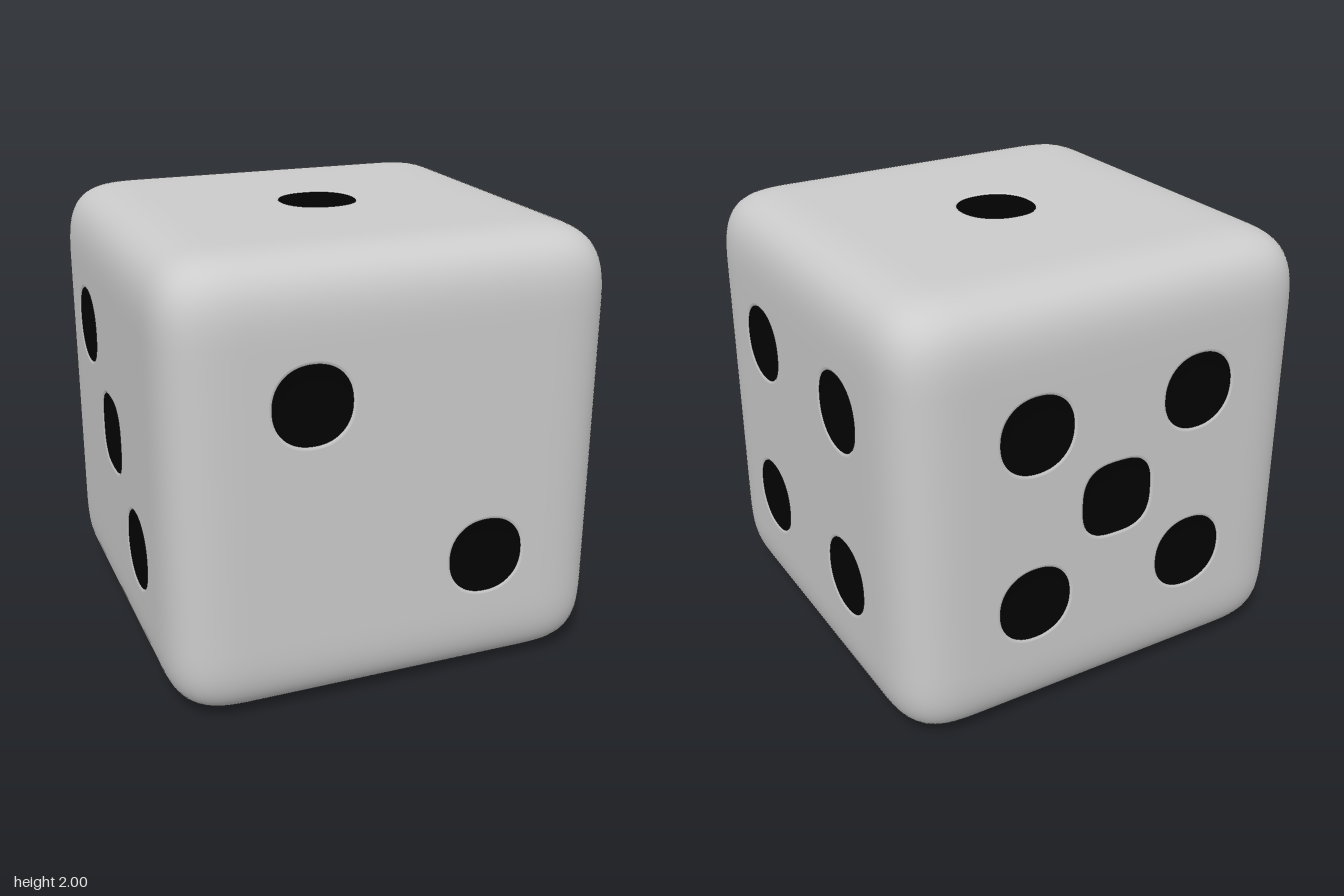
import * as THREE from 'three';
import { mergeVertices } from 'three/addons/utils/BufferGeometryUtils.js';

const FLAT = 0.6;    // half-width of the flat middle of each face
const ROUND = 0.4;   // reach of the rounded edges
const PIP = 0.172;   // pip radius
const GRID = 0.4;    // pip spacing
const SIDES = 64;

const grey = new THREE.MeshStandardMaterial({ color: 0xcccccc });
const black = new THREE.MeshStandardMaterial({ color: 0x020202 });

function part(name, geometry, material) {
  const mesh = new THREE.Mesh(geometry, material);
  mesh.name = name;
  return mesh;
}

function smooth(geometry) {
  geometry.deleteAttribute('uv');
  geometry.deleteAttribute('normal');
  const merged = mergeVertices(geometry, 1e-4);
  merged.computeVertexNormals();
  return merged;
}

// Rounded edges and corners, with the flat middle of each face left open
function roundedShell() {
  const geo = new THREE.BoxGeometry(2, 2, 2, 60, 60, 60);
  const pos = geo.attributes.position;
  const index = geo.index.array;
  const kept = [];
  const isFlat = (i) => [pos.getX(i), pos.getY(i), pos.getZ(i)]
    .filter((c) => Math.abs(c) <= FLAT + 1e-4).length === 2;
  for (let i = 0; i < index.length; i += 3) {
    const tri = [index[i], index[i + 1], index[i + 2]];
    if (!tri.every(isFlat)) kept.push(...tri);
  }
  geo.setIndex(kept);
  const power = 3.6;
  for (let i = 0; i < pos.count; i++) {
    const p = [pos.getX(i), pos.getY(i), pos.getZ(i)];
    const inner = p.map((c) => THREE.MathUtils.clamp(c, -FLAT, FLAT));
    const d = p.map((c, k) => c - inner[k]);
    const length = d.reduce((sum, c) => sum + Math.abs(c) ** power, 0) ** (1 / power);
    pos.setXYZ(i, ...inner.map((c, k) => c + (d[k] * ROUND) / length));
  }
  return smooth(geo);
}

// Slightly squared circle: radius factor at an angle
function squared(angle, n) {
  return (Math.abs(Math.cos(angle)) ** n + Math.abs(Math.sin(angle)) ** n) ** (-1 / n);
}

// Turned dish, squared off, opening towards +z; profile runs from rim to centre
function dish(profile, n) {
  const points = profile.map(([r, depth]) => new THREE.Vector2(r * PIP, -depth));
  const geo = new THREE.LatheGeometry(points, SIDES).rotateX(Math.PI / 2);
  const pos = geo.attributes.position;
  for (let i = 0; i < pos.count; i++) {
    const x = pos.getX(i), y = pos.getY(i);
    const k = squared(Math.atan2(y, x), n);
    pos.setXY(i, x * k, y * k);
  }
  return smooth(geo);
}

const RIM = [[1.08, 0], [1.04, 0.001], [1, 0.005]];
const BOWL = [[1, 0.005], [0.97, 0.03], [0.88, 0.06], [0.7, 0.08], [0.4, 0.09], [0, 0.092]];

// One face: flat plate with holes, and a rim and bowl in each hole
function createFace(name, pips, rotX, rotY) {
  const face = new THREE.Group();
  face.name = name;
  const plate = new THREE.Shape();
  plate.moveTo(-FLAT, -FLAT).lineTo(FLAT, -FLAT).lineTo(FLAT, FLAT).lineTo(-FLAT, FLAT);
  plate.closePath();
  for (const [u, v] of pips) {
    const x = u * GRID, y = v * GRID;
    // Pips with close neighbours are a little squarer
    const n = pips.length > 1 && (u === 0 || v === 0) ? 2.9 : 2.2;
    const outline = [];
    for (let i = 0; i < SIDES; i++) {
      const a = (-i / SIDES) * Math.PI * 2;
      const r = RIM[0][0] * PIP * squared(a, n);
      outline.push(new THREE.Vector2(x + r * Math.cos(a), y + r * Math.sin(a)));
    }
    plate.holes.push(new THREE.Path(outline));
    const rim = part('pipRim', dish(RIM, n), grey);
    const bowl = part('pipBowl', dish(BOWL, n), black);
    for (const mesh of [rim, bowl]) {
      mesh.position.set(x, y, 1);
      face.add(mesh);
    }
  }
  const flat = part('facePlate', new THREE.ShapeGeometry(plate), grey);
  flat.position.z = 1;
  face.add(flat);
  face.rotation.set(rotX, rotY, 0);
  return face;
}

export function createModel() {
  const model = new THREE.Group();
  model.name = 'die';
  const cube = new THREE.Group();
  cube.name = 'cube';
  cube.position.y = 1;
  model.add(cube);

  cube.add(part('roundedEdges', roundedShell(), grey));

  const diagonal = [[-1, 1], [1, -1]];
  const corners = [...diagonal, [1, 1], [-1, -1]];
  const centre = [[0, 0]];
  const q = Math.PI / 2;
  cube.add(
    createFace('topFace', centre, -q, 0),
    createFace('frontFace', diagonal, 0, 0),
    createFace('rightFace', [...diagonal, ...centre], 0, -q),
    createFace('leftFace', corners, 0, q),
    createFace('backFace', [...corners, ...centre], 0, 2 * q),
    createFace('bottomFace', [...corners, [-1, 0], [1, 0]], q, 0),
  );
  return model;
}
